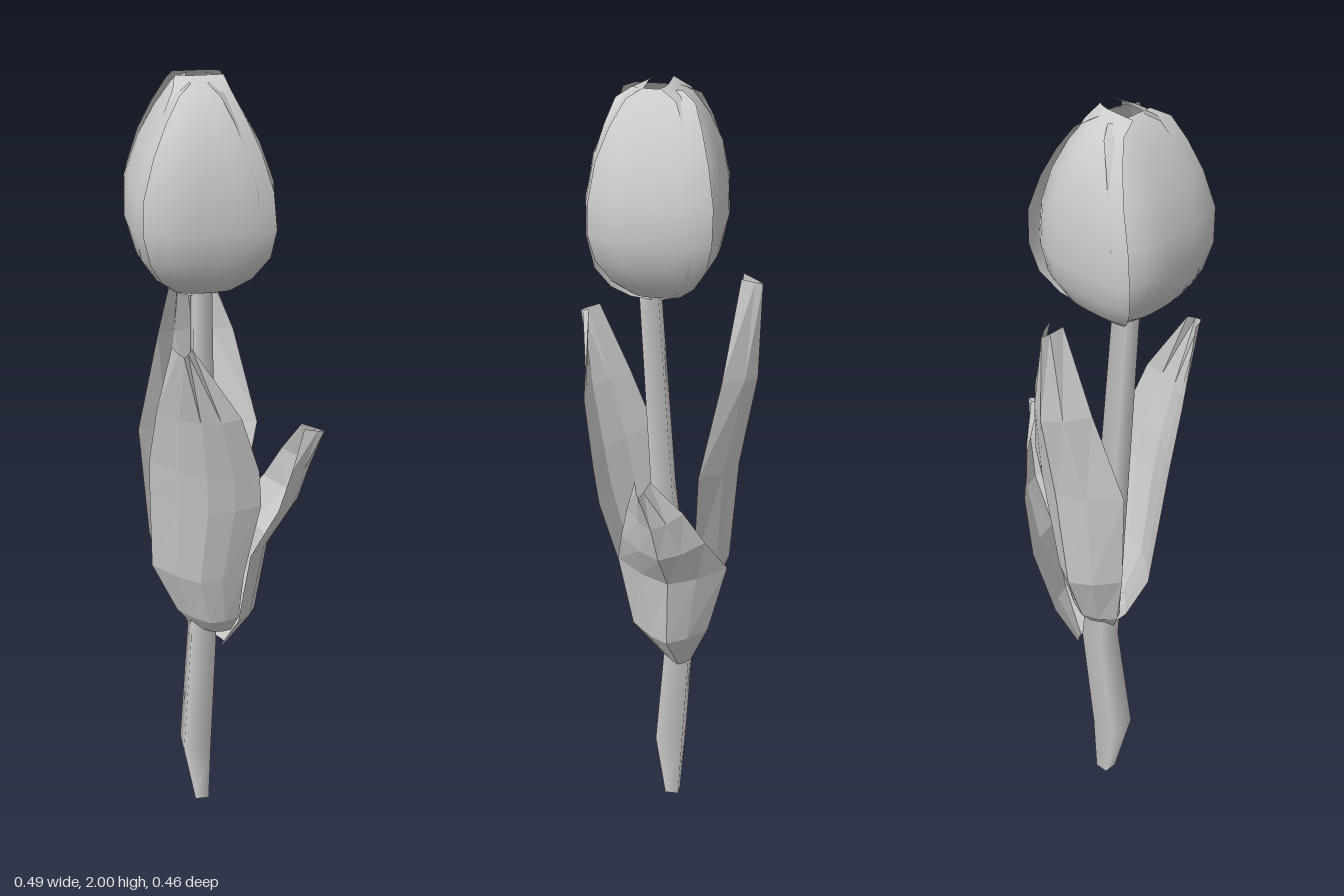
import * as THREE from 'three';

const grey = (flatShading) => new THREE.MeshStandardMaterial({
  color: 0xcccccc, flatShading, side: THREE.DoubleSide,
});

// Curved sheet facing +z. Each row: [y, outward distance, sideways centre, half width, edge depth].
// Edges fall back by depth * |u|^power; skew pushes one edge out and the other in.
function sheet(rows, { columns, power, lift = 0, skew = 0, twist = 3 }) {
  const positions = [], index = [];
  rows.forEach(([y, out, side, width, depth], r) => {
    for (let c = 0; c <= columns; c++) {
      const u = (2 * c) / columns - 1;
      const fall = depth * Math.abs(u) ** power;
      positions.push(side + width * u, y + lift * fall, out - fall + skew * width * u ** twist);
      if (r && c) {
        const b = r * (columns + 1) + c, a = b - columns - 1;
        index.push(a - 1, a, b, a - 1, b, b - 1);
      }
    }
  });
  const geometry = new THREE.BufferGeometry();
  geometry.setAttribute('position', new THREE.Float32BufferAttribute(positions, 3));
  geometry.setIndex(index);
  geometry.computeVertexNormals();
  return geometry;
}

// Stem: square-sectioned tube whose rings follow a bent, tapering line
function createStem() {
  const rings = [ // x, y, z, half thickness
    [-0.07, 0, -0.02, 0.018], [-0.086, 0.18, -0.012, 0.036], [-0.063, 0.5, -0.037, 0.033],
    [-0.064, 0.95, 0.005, 0.027], [-0.071, 1.5, 0.04, 0.023],
  ];
  const geometry = new THREE.CylinderGeometry(
    Math.SQRT2, Math.SQRT2, 1, 4, rings.length - 1, false, Math.PI / 4);
  const p = geometry.attributes.position;
  for (let i = 0; i < p.count; i++) {
    const [x, y, z, r] = rings[Math.round((p.getY(i) + 0.5) * (rings.length - 1))];
    p.setXYZ(i, x + p.getX(i) * r, y, z + p.getZ(i) * r);
  }
  const stem = new THREE.Mesh(geometry, grey(false));
  stem.name = 'stem';
  return stem;
}

// Leaves: folded, faceted blades in their own outward-facing frames
const leaves = [
  { name: 'frontLeaf', turn: 0, skew: 0.42, rows: [
    [0.53, 0.015, -0.04, 0.045, 0.015], [0.58, 0.055, -0.055, 0.075, 0.035],
    [0.72, 0.092, -0.085, 0.11, 0.045], [0.94, 0.143, -0.072, 0.13, 0.05],
    [1.04, 0.16, -0.077, 0.127, 0.05], [1.2, 0.19, -0.095, 0.096, 0.037],
    [1.39, 0.228, -0.14, 0.022, 0.035]] },
  { name: 'backLeaf', turn: Math.PI, skew: 0, rows: [
    [0.53, 0.04, 0.05, 0.045, 0.02], [0.6, 0.1, 0.06, 0.085, 0.04],
    [0.76, 0.165, 0.075, 0.115, 0.075], [1.04, 0.188, 0.058, 0.152, 0.08],
    [1.28, 0.23, 0.055, 0.095, 0.075], [1.52, 0.235, 0.068, 0.02, 0.05]] },
  { name: 'leftLeaf', turn: Math.PI / 2, skew: 0, rows: [
    [0.46, 0, 0.045, 0.03, 0.02], [0.57, 0.075, 0.027, 0.098, 0.06],
    [0.77, 0.112, 0.036, 0.14, 0.072], [0.88, 0.185, 0.025, 0.105, 0.07],
    [0.98, 0.213, 0.012, 0.07, 0.06], [1.08, 0.243, -0.012, 0.018, 0.055]] },
];

// Petals: two shapes, each used on opposite sides of the bud
const petalRow = ([y, out, width]) => [y, out, 0, width, out * 0.24];
const sidePetal = [
  [1.47, 0.012, 0.03], [1.49, 0.065, 0.06], [1.53, 0.115, 0.1], [1.59, 0.153, 0.135],
  [1.66, 0.172, 0.15], [1.75, 0.17, 0.152], [1.84, 0.138, 0.136], [1.91, 0.1, 0.116],
  [1.965, 0.06, 0.095], [1.985, 0.025, 0.06],
].map(petalRow);
const facingPetal = [
  [1.47, 0.012, 0.03], [1.49, 0.065, 0.065], [1.53, 0.11, 0.11], [1.59, 0.145, 0.148],
  [1.66, 0.16, 0.16], [1.75, 0.159, 0.152], [1.84, 0.145, 0.125], [1.91, 0.115, 0.095],
  [1.97, 0.075, 0.065], [1.995, 0.025, 0.055],
].map(petalRow);

export function createModel() {
  const model = new THREE.Group();
  model.name = 'tulip';
  model.add(createStem());

  for (const { name, turn, skew, rows } of leaves) {
    const geometry = sheet(rows, { columns: 4, power: 1.5, lift: 0.3, skew, twist: 1 });
    const leaf = new THREE.Mesh(geometry, grey(true));
    leaf.name = name;
    leaf.rotation.y = turn;
    model.add(leaf);
  }

  // Bud: four overlapping petals, each tucked under its neighbour
  const bud = new THREE.Group();
  bud.name = 'flowerBud';
  bud.position.set(-0.072, 0, 0.018);
  ['frontPetal', 'leftPetal', 'backPetal', 'rightPetal'].forEach((name, i) => {
    const rows = i % 2 ? sidePetal : facingPetal;
    const petal = new THREE.Mesh(sheet(rows, { columns: 10, power: 3, skew: 0.11 }), grey(false));
    petal.name = name;
    petal.rotation.y = (i * Math.PI) / 2;
    bud.add(petal);
  });
  model.add(bud);
  return model;
}
